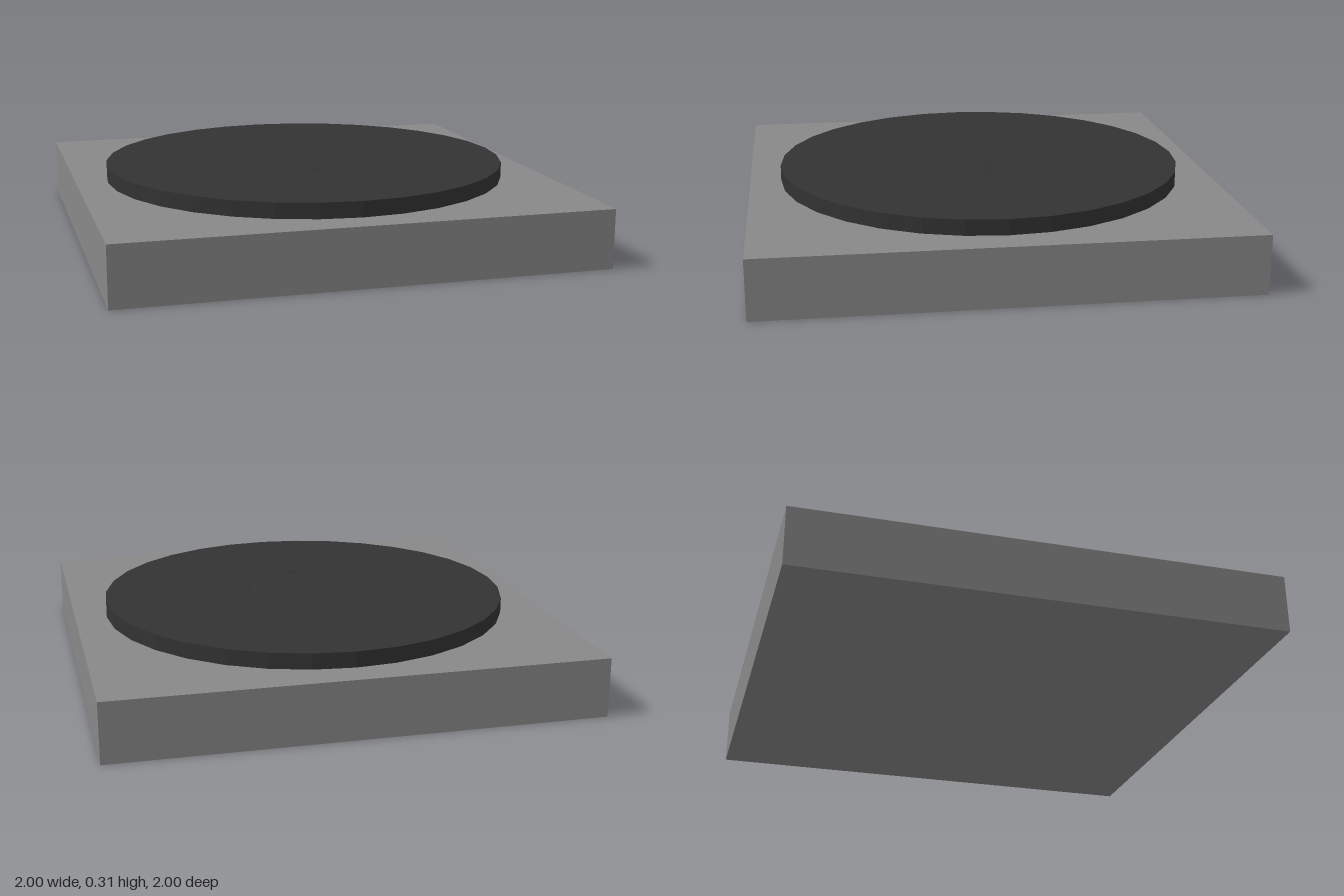
import * as THREE from 'three';

const SLAB_TOP = 0.245;
const DISC_TOP = 0.31;

export function createModel() {
  const model = new THREE.Group();
  const stone = new THREE.MeshStandardMaterial({ color: 0x888888, flatShading: true });
  const dark = new THREE.MeshStandardMaterial({ color: 0x333333, flatShading: true });

  const add = (name, geometry, material, x, y, z) => {
    const mesh = new THREE.Mesh(geometry, material);
    mesh.name = name;
    mesh.position.set(x, y, z);
    model.add(mesh);
    return mesh;
  };

  // Square base slab
  add('baseSlab', new THREE.BoxGeometry(2, SLAB_TOP, 2), stone, 0, SLAB_TOP / 2, 0);

  // Faceted round plate resting on the slab
  const thickness = DISC_TOP - SLAB_TOP;
  add('roundPlate', new THREE.CylinderGeometry(0.867, 0.867, thickness, 32),
    dark, 0, SLAB_TOP + thickness / 2, 0);

  // Tiny chips barely breaking the plate's surface: x, z, half width, half length, turn
  const chips = [
    [0.11, 0.0, 0.02, 0.03, 0],
    [0.19, 0.0, 0.024, 0.034, 0.2],
    [0.29, 0.1, 0.03, 0.032, 0.5],
    [0.22, 0.115, 0.004, 0.018, -0.6],
    [0.17, 0.19, 0.004, 0.01, -0.4],
    [0.02, 0.205, 0.006, 0.018, -0.3],
    [-0.015, 0.275, 0.005, 0.014, -1.1],
    [-0.075, 0.3, 0.006, 0.014, -0.5],
  ];
  const chipHeight = 0.002;
  for (const [x, z, halfWidth, halfLength, turn] of chips) {
    const chip = add('surfaceChip', new THREE.CylinderGeometry(0.9, 1, chipHeight, 7),
      dark, x, DISC_TOP + chipHeight / 2, z);
    chip.scale.set(halfWidth, 1, halfLength);
    chip.rotation.y = turn;
  }

  return model;
}
